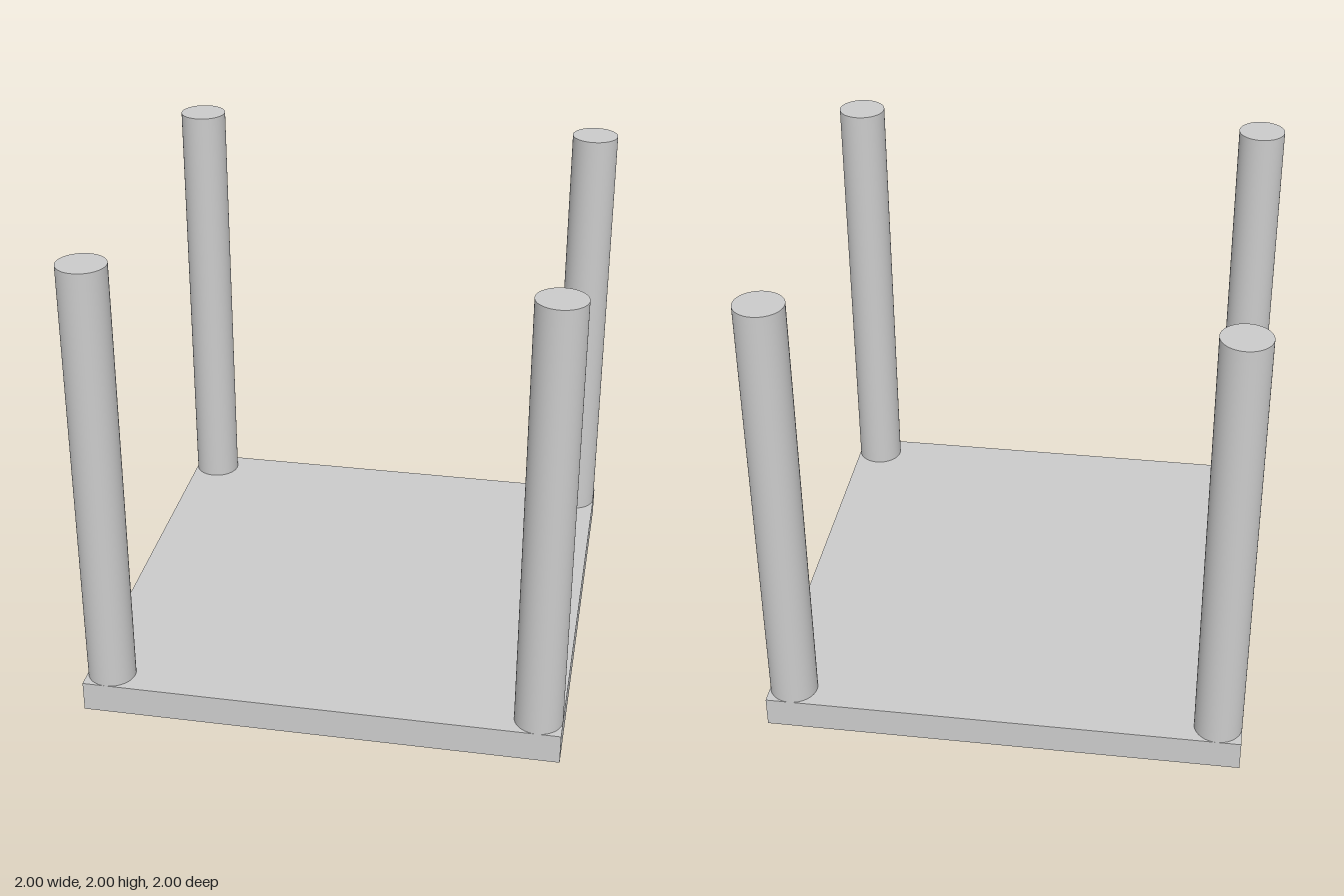
import * as THREE from 'three';

const SIZE = 2;
const HEIGHT = 2;
const SLAB = 0.13;
const RADIUS = 0.1;

export function createModel() {
  const model = new THREE.Group();
  model.name = 'upturnedTable';
  const material = new THREE.MeshStandardMaterial({ color: 0xcccccc });

  // Square table top lying on the ground
  const top = new THREE.Mesh(new THREE.BoxGeometry(SIZE, SLAB, SIZE), material);
  top.name = 'tableTop';
  top.position.y = SLAB / 2;
  model.add(top);

  // Four round legs, flush with the edges at each corner
  const legLength = HEIGHT - SLAB;
  const legGeometry = new THREE.CylinderGeometry(RADIUS, RADIUS, legLength, 64);
  const offset = SIZE / 2 - RADIUS;
  for (const [x, side] of [[1, 'Left'], [-1, 'Right']]) {
    for (const [z, end] of [[1, 'front'], [-1, 'back']]) {
      const leg = new THREE.Mesh(legGeometry, material);
      leg.name = `${end}${side}Leg`;
      leg.position.set(x * offset, SLAB + legLength / 2, z * offset);
      model.add(leg);
    }
  }

  return model;
}
